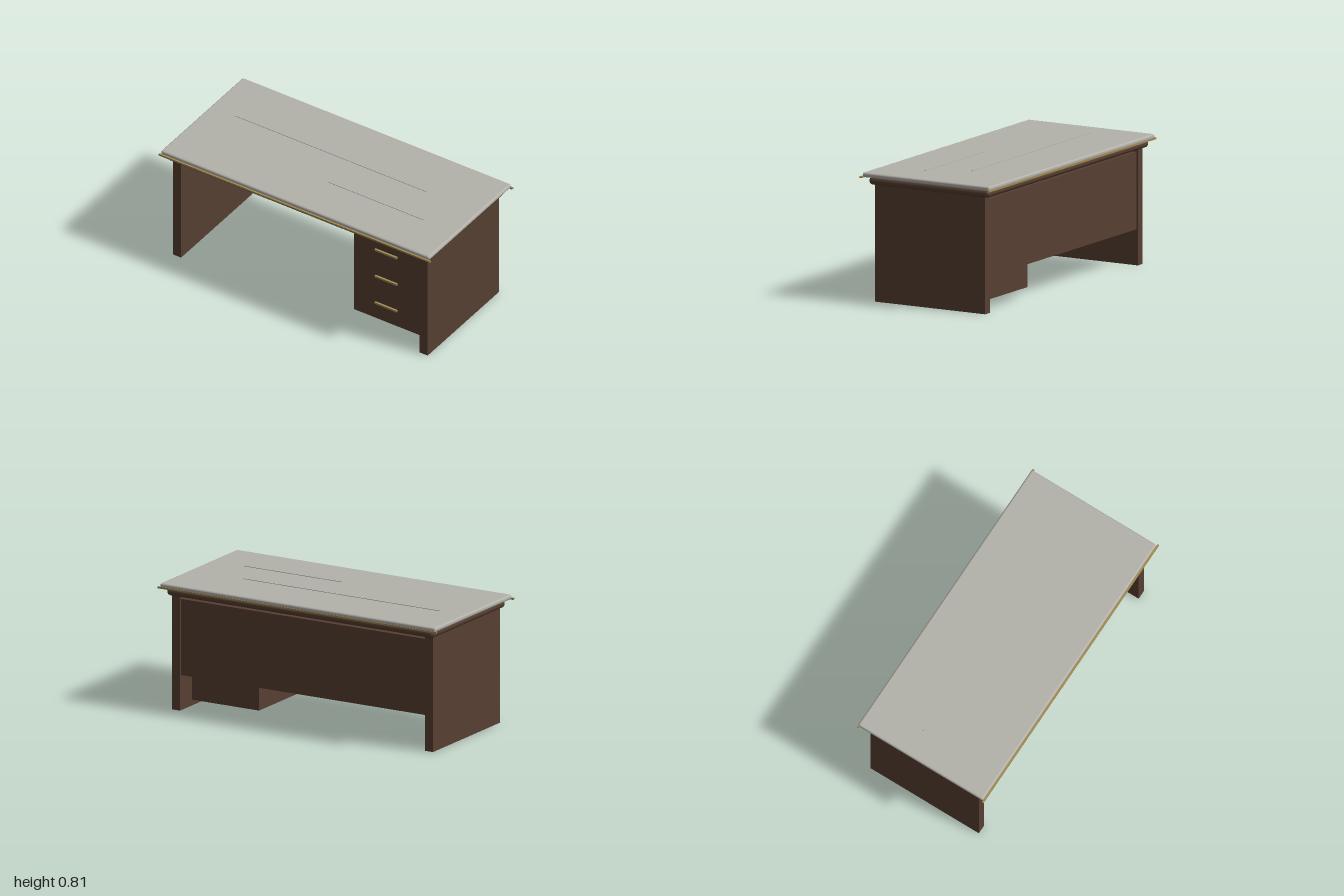
import * as THREE from 'three';
import { RoundedBoxGeometry } from 'three/addons/geometries/RoundedBoxGeometry.js';

const material = (name, color) => {
  const m = new THREE.MeshStandardMaterial({ color });
  m.name = name;
  return m;
};

export function createModel() {
  const desk = new THREE.Group();
  desk.name = 'desk';
  const wood = material('dark wood', 0x563f31);
  const stone = material('grey top', 0xb3b1aa);
  const brass = material('brass', 0xa08a50);

  // Box given by its extents on each axis; a radius rounds the edges
  const slab = (name, mat, [x0, x1], [y0, y1], [z0, z1], radius = 0) => {
    const size = [x1 - x0, y1 - y0, z1 - z0];
    const geometry = radius
      ? new RoundedBoxGeometry(...size, 5, radius)
      : new THREE.BoxGeometry(...size);
    const mesh = new THREE.Mesh(geometry, mat);
    mesh.name = name;
    mesh.position.set((x0 + x1) / 2, (y0 + y1) / 2, (z0 + z1) / 2);
    desk.add(mesh);
  };

  // Worktop with the bullnosed rim below it
  slab('worktop', stone, [-0.992, 0.987], [0.78, 0.81], [-0.458, 0.45], 0.012);
  slab('rim', wood, [-0.963, 0.958], [0.73, 0.78], [-0.435, 0.427], 0.0245);

  // Thin raised strips on the worktop
  slab('rearStrip', stone, [-0.81, 0.6], [0.809, 0.813], [-0.11, -0.098]);
  slab('frontStrip', stone, [0.046, 0.748], [0.809, 0.813], [0.141, 0.153]);

  // Brass trim along the long edges
  slab('frontTrim', brass, [-1, 1], [0.776, 0.787], [0.449, 0.461]);
  slab('backTrim', brass, [-1, 1], [0.776, 0.787], [-0.461, -0.449]);

  // Side panels and modesty panel
  slab('rightSide', wood, [-0.941, -0.882], [0, 0.732], [-0.399, 0.39]);
  slab('leftSide', wood, [0.877, 0.936], [0, 0.732], [-0.399, 0.39]);
  slab('modestyPanel', wood, [-0.882, 0.877], [0.225, 0.71], [-0.39, -0.345]);

  // Drawer pedestal with three bar handles
  slab('drawerPedestal', wood, [0.342, 0.826], [0.065, 0.668], [-0.345, 0.315]);
  for (const y of [0.185, 0.388, 0.59]) {
    slab('drawerHandle', brass, [0.502, 0.665], [y - 0.006, y + 0.006], [0.315, 0.329]);
  }
  return desk;
}
